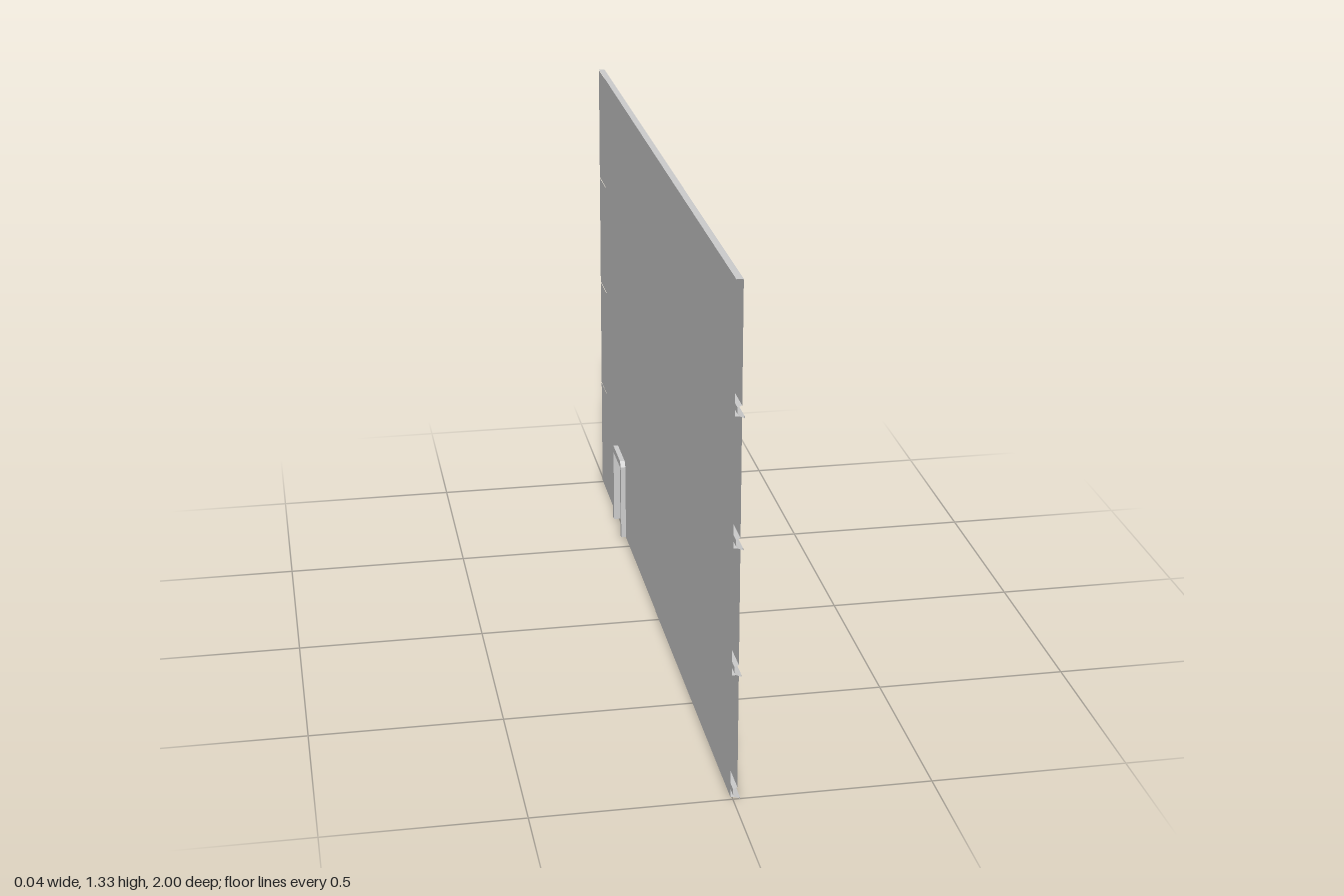
import * as THREE from 'three';

const metal = new THREE.MeshStandardMaterial({ color: 0xcccccc, flatShading: true, side: THREE.DoubleSide });

const BACK = -0.006, FRONT = 0.011, LIP = 0.018;
const PITCH = 0.331, BASE = 0.005, SEAM = -0.04;

// Sweeps an open [x, y] profile along z to make a folded sheet
function sheet(name, profile, z0, z1) {
  const positions = [], index = [];
  for (let i = 0; i < profile.length - 1; i++) {
    const n = positions.length / 3;
    for (const [x, y] of [profile[i], profile[i + 1]]) positions.push(x, y, z0, x, y, z1);
    index.push(n, n + 1, n + 3, n, n + 3, n + 2);
  }
  const geometry = new THREE.BufferGeometry();
  geometry.setAttribute('position', new THREE.Float32BufferAttribute(positions, 3));
  geometry.setIndex(index);
  geometry.computeVertexNormals();
  const mesh = new THREE.Mesh(geometry, metal);
  mesh.name = name;
  return mesh;
}

// One board: back skin, drip lip, recessed groove and raised front face
function boardProfile(y, top) {
  return [
    [BACK, top], [BACK, y + 0.002], [0.004, y + 0.002], [LIP, y - 0.004], [LIP, y],
    [0.004, y + 0.005], [0, y + 0.008], [0, y + 0.024], [FRONT, y + 0.028], [FRONT, top],
  ];
}

// Plain board piece without a lip
function plainProfile(y, top) {
  return [[BACK, top], [BACK, y], [FRONT, y], [FRONT, top]];
}

export function createModel() {
  const group = new THREE.Group();
  group.name = 'wallPanel';

  // Four rows of boards, each joined at a central seam
  for (let row = 0; row < 4; row++) {
    const y = BASE + row * PITCH, top = y + PITCH - 0.001;
    group.add(sheet('board', boardProfile(y, top), SEAM + 0.001, 1));
    if (row > 0) {
      group.add(sheet('board', boardProfile(y, top), -1, SEAM - 0.001));
    } else {
      // Bottom row is cut around the doorway
      group.add(sheet('boardBesideDoor', plainProfile(0.01, top), -0.56, SEAM - 0.001));
      group.add(sheet('boardAboveDoor', plainProfile(0.24, top), -0.695, -0.56));
      group.add(sheet('boardEnd', boardProfile(y, top), -1, -0.695));
    }
  }

  // Cap along the top edge
  group.add(sheet('topCap', [[BACK, 1.33], [FRONT, 1.33]], -1, 1));

  // Doorway surround: a U with chamfered upper corners
  const frame = new THREE.Shape([
    [0.548, 0.01], [0.552, 0.235], [0.565, 0.25], [0.688, 0.25], [0.7, 0.235], [0.706, 0.01],
    [0.685, 0.01], [0.685, 0.23], [0.565, 0.23], [0.565, 0.01],
  ].map(([u, v]) => new THREE.Vector2(u, v)));
  const frameGeometry = new THREE.ExtrudeGeometry(frame, { depth: 0.04, bevelEnabled: false });
  frameGeometry.rotateY(Math.PI / 2).translate(-0.02, 0, 0);
  const doorFrame = new THREE.Mesh(frameGeometry, metal);
  doorFrame.name = 'doorFrame';
  group.add(doorFrame);

  return group;
}
